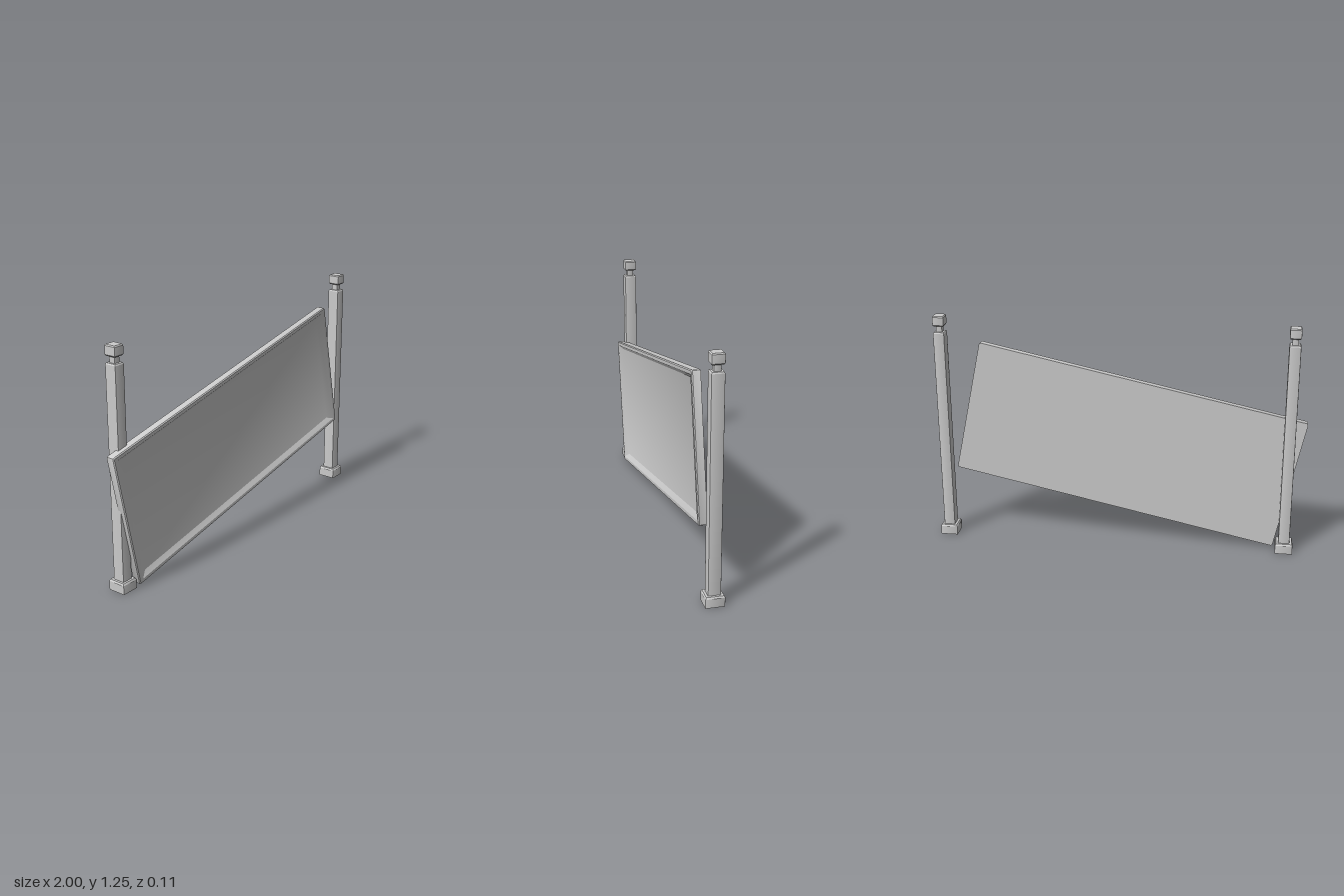
import * as THREE from 'three';
import { toCreasedNormals } from 'three/addons/utils/BufferGeometryUtils.js';

const material = new THREE.MeshStandardMaterial({ color: 0xcccccc });

// Rounded rectangle outline, counter-clockwise, at height z
function ring([w, h, z, r = 0.001]) {
  const pts = [];
  for (let c = 0; c < 4; c++) {
    const sx = c === 0 || c === 3 ? 1 : -1, sy = c < 2 ? 1 : -1;
    for (let k = 0; k < 3; k++) {
      const a = (c + k / 2) * Math.PI / 2;
      pts.push([sx * (w / 2 - r) + r * Math.cos(a), sy * (h / 2 - r) + r * Math.sin(a), z]);
    }
  }
  return pts;
}

// Skin a list of rectangular sections and close both ends
function loft(sections, crease) {
  const rings = sections.map(ring), n = rings[0].length, pos = [];
  const tri = (...p) => p.forEach(q => pos.push(...q));
  for (let j = 0; j + 1 < rings.length; j++) {
    for (let i = 0; i < n; i++) {
      const a = rings[j], b = rings[j + 1], k = (i + 1) % n;
      tri(a[i], a[k], b[k]);
      tri(a[i], b[k], b[i]);
    }
  }
  const first = rings[0], last = rings[rings.length - 1];
  for (let i = 0; i < n; i++) {
    const k = (i + 1) % n;
    tri([0, 0, first[0][2]], first[k], first[i]);
    tri([0, 0, last[0][2]], last[i], last[k]);
  }
  const g = new THREE.BufferGeometry();
  g.setAttribute('position', new THREE.Float32BufferAttribute(pos, 3));
  return toCreasedNormals(g, crease);
}

function part(geometry, name) {
  const mesh = new THREE.Mesh(geometry, material);
  mesh.name = name;
  return mesh;
}

// Post with a hollow foot, plain shaft, narrow neck and block cap
function createPost(name, x) {
  const post = new THREE.Group();
  post.name = name;
  const add = (sections, label) =>
    post.add(part(loft(sections, 0.5).rotateX(-Math.PI / 2), label));
  add([
    [0.058, 0.062, 0.045], [0.066, 0.07, 0], [0.094, 0.098, 0, 0.003],
    [0.094, 0.098, 0.047, 0.003], [0.084, 0.088, 0.056, 0.003],
  ], 'foot');
  add([
    [0.06, 0.065, 0.046, 0.004], [0.06, 0.065, 1.16, 0.004], [0.052, 0.057, 1.167, 0.003],
  ], 'shaft');
  add([[0.032, 0.034, 1.16], [0.032, 0.034, 1.21]], 'neck');
  add([
    [0.052, 0.056, 1.2, 0.003], [0.06, 0.065, 1.206, 0.003],
    [0.06, 0.065, 1.249, 0.003], [0.052, 0.056, 1.255, 0.003],
  ], 'cap');
  post.position.set(x, 0, -0.004);
  return post;
}

export function createModel() {
  const model = new THREE.Group();
  model.name = 'hangingSign';
  model.add(createPost('rightPost', -0.907), createPost('leftPost', 0.951));

  // Tilted board with a raised rim and a sunken face
  const board = part(loft([
    [1.786, 0.736, 0.012, 0.01], [1.786, 0.736, 0.051, 0.01], [1.776, 0.726, 0.056, 0.008],
    [1.736, 0.692, 0.056], [1.652, 0.65, 0.036],
  ], 0.55), 'board');
  board.position.set(-0.05, 0.56, 0);
  board.rotation.z = THREE.MathUtils.degToRad(12.1);
  model.add(board);
  return model;
}
